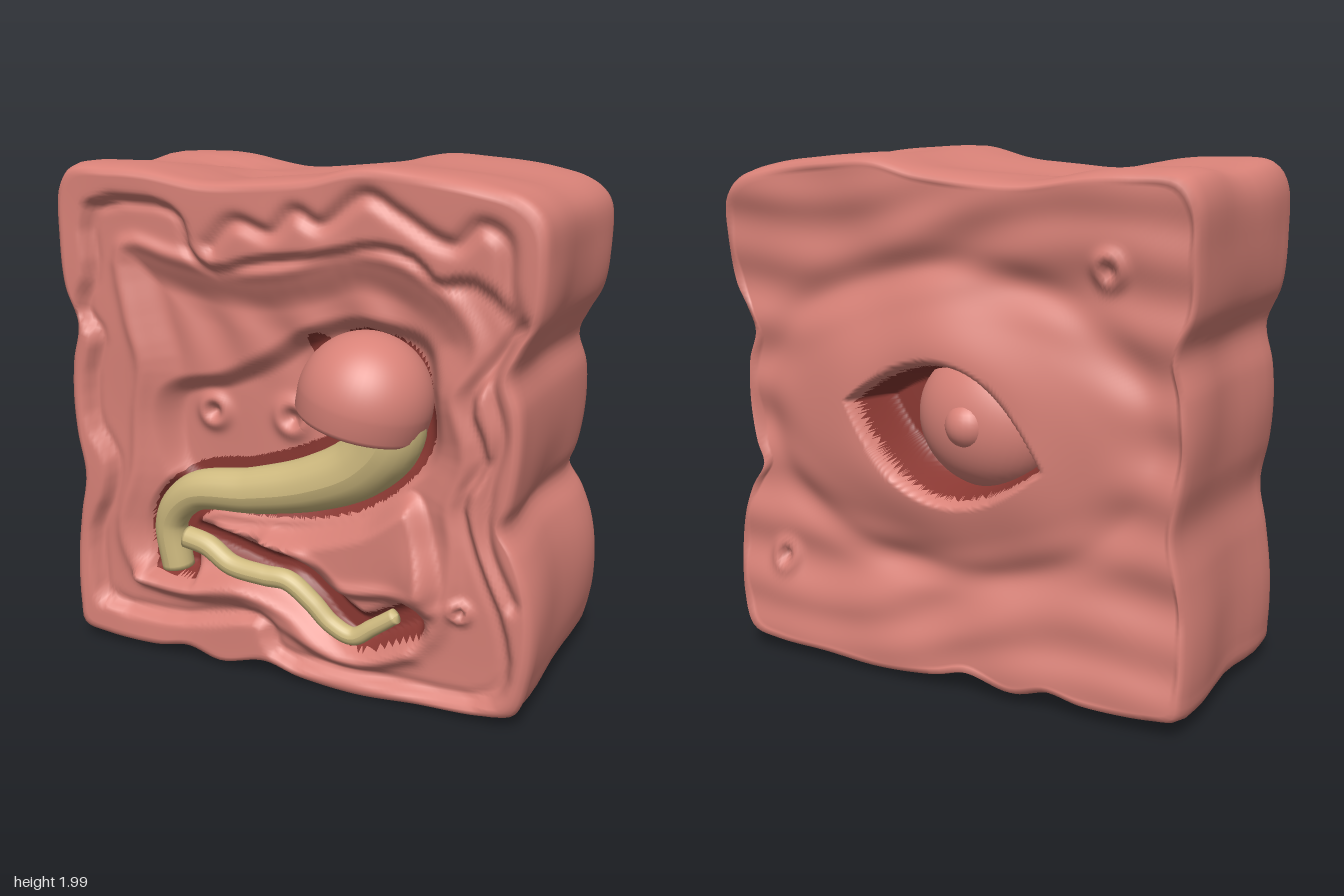
import * as THREE from 'three';

const flat = (a) => {
  const out = [];
  for (let i = 0; i < a.length; i += 2) out.push(new THREE.Vector3(a[i], a[i + 1], 0));
  return out;
};
const smooth = THREE.MathUtils.smoothstep;
const lerp = THREE.MathUtils.lerp;
const gauss = (d, w) => Math.exp(-(d * d) / (w * w));

// Distance to a smooth line; closed lines give a signed distance, positive inside
function lineField(coords, closed) {
  const pts = new THREE.CatmullRomCurve3(flat(coords), closed).getPoints(90);
  return (x, y) => {
    let best = 9, inside = false;
    for (let i = 1; i < pts.length; i++) {
      const a = pts[i - 1], b = pts[i];
      const dx = b.x - a.x, dy = b.y - a.y;
      const t = THREE.MathUtils.clamp(((x - a.x) * dx + (y - a.y) * dy) / (dx * dx + dy * dy + 1e-9), 0, 1);
      best = Math.min(best, Math.hypot(x - a.x - t * dx, y - a.y - t * dy));
      if ((a.y > y) !== (b.y > y) && x < a.x + ((y - a.y) / dy) * dx) inside = !inside;
    }
    return closed && !inside ? -best : best;
  };
}

const outline = [-0.96, 0.06, -0.85, 0.035, -0.6, 0.03, -0.45, 0.055, -0.3, 0.02, -0.1, 0.06, 0.05, 0.025,
  0.3, 0.005, 0.55, 0.02, 0.8, 0.03, 0.92, 0.06, 0.97, 0.2, 0.985, 0.4, 0.965, 0.55, 0.92, 0.67, 0.86, 0.77,
  0.89, 0.86, 0.915, 1.03, 0.91, 1.2, 0.875, 1.32, 0.91, 1.41, 0.965, 1.52, 0.985, 1.7, 0.97, 1.85, 0.9, 1.92,
  0.75, 1.96, 0.5, 1.99, 0.3, 2.0, 0.1, 1.955, -0.15, 1.93, -0.35, 1.925, -0.6, 1.96, -0.75, 1.965,
  -0.93, 1.95, -0.98, 1.88, -0.99, 1.7, -0.975, 1.5, -0.92, 1.35, -0.95, 1.2, -0.96, 1.05, -0.95, 0.9,
  -0.92, 0.72, -0.95, 0.55, -0.975, 0.35, -0.975, 0.15];

// Folds of the front face
const rimEdge = lineField([-0.83, 1.8, -0.5, 1.82, -0.43, 1.77, -0.4, 1.66, -0.3, 1.6, -0.1, 1.64, 0.1, 1.67,
  0.35, 1.72, 0.5, 1.69, 0.6, 1.61, 0.72, 1.62, 0.86, 1.49, 0.8, 1.35, 0.72, 1.2, 0.78, 1.0, 0.7, 0.85,
  0.75, 0.65, 0.86, 0.4, 0.88, 0.2, 0.8, 0.1, 0.5, 0.09, 0.2, 0.1, -0.05, 0.12, -0.1, 0.24, -0.3, 0.22,
  -0.5, 0.18, -0.85, 0.2, -0.87, 0.3, -0.87, 0.5, -0.8, 0.65, -0.78, 0.8, -0.86, 0.95, -0.86, 1.15,
  -0.82, 1.3, -0.89, 1.4, -0.84, 1.55], true);
const recess = lineField([-0.68, 1.63, -0.5, 1.6, -0.25, 1.56, 0, 1.58, 0.25, 1.66, 0.48, 1.62, 0.66, 1.48,
  0.7, 1.38, 0.61, 1.22, 0.66, 1.0, 0.6, 0.8, 0.62, 0.65, 0.6, 0.4, 0.5, 0.27, 0.27, 0.18, 0, 0.26,
  -0.2, 0.34, -0.4, 0.33, -0.65, 0.36, -0.72, 0.5, -0.65, 0.75, -0.63, 1, -0.6, 1.2, -0.65, 1.4], true);
const hollow = lineField([-0.55, 1.1, -0.3, 1.18, -0.1, 1.28, 0.05, 1.38, 0.3, 1.44, 0.52, 1.38, 0.58, 1.2,
  0.55, 0.95, 0.3, 0.8, 0, 0.75, -0.5, 0.72, -0.58, 0.9], true);
const slab = lineField([-0.35, 0.57, 0, 0.6, 0.3, 0.7, 0.5, 0.82, 0.58, 0.65, 0.6, 0.45, 0.4, 0.41,
  0.23, 0.4, 0.1, 0.48, -0.1, 0.53], true);
const upperFold = lineField([-0.3, 1.69, -0.2, 1.78, -0.05, 1.75, 0.05, 1.83, 0.15, 1.79, 0.32, 1.9, 0.45, 1.84,
  0.65, 1.75, 0.75, 1.82, 0.83, 1.78, 0.85, 1.6, 0.89, 1.49], false);
const rightFold = lineField([0.89, 1.48, 0.8, 1.3, 0.84, 1.1, 0.8, 0.9, 0.8, 0.72, 0.9, 0.5], false);
const lip = lineField([-0.66, 0.33, -0.45, 0.32, -0.2, 0.35, 0.0, 0.28, 0.12, 0.2, 0.28, 0.155, 0.5, 0.22], false);
const slabLip = lineField([-0.1, 0.55, 0.05, 0.52, 0.2, 0.42, 0.4, 0.43, 0.58, 0.42], false);

const bigPath = [-0.52, 0.36, -0.535, 0.58, -0.42, 0.71, -0.15, 0.755, 0.1, 0.82, 0.3, 0.92, 0.4, 1.05, 0.37, 1.2];
const bigRadii = [0.065, 0.065, 0.078, 0.088, 0.1, 0.115, 0.13, 0.14];
const thinPath = [-0.47, 0.52, -0.36, 0.5, -0.25, 0.44, -0.1, 0.425, 0.0, 0.42, 0.1, 0.35, 0.18, 0.275,
  0.27, 0.24, 0.35, 0.29, 0.45, 0.36];
const bigDist = lineField(bigPath, false);
const thinBed = lineField([-0.45, 0.53, -0.3, 0.5, -0.1, 0.45, 0.02, 0.44, 0.12, 0.375, 0.2, 0.295, 0.29, 0.25,
  0.42, 0.3, 0.49, 0.335], false);

// Distance outside the edge of the dark front channel (negative inside)
const channel = (x, y) => Math.max(0.35 - y - 0.25 * smooth(x, -0.45, -0.2), Math.min(
  bigDist(x, y) - lerp(0.1, 0.155, smooth(x, -0.4, 0.25)),
  thinBed(x, y) - lerp(0.05, 0.066, smooth(x, 0, 0.3)),
  Math.hypot(x - 0.3, y - 1.18) - 0.235, Math.hypot(x - 0.08, y - 1.33) - 0.05));
// Almond-shaped opening at the back: below 1 is inside
const almond = (x, y) => {
  const u = (x + 0.02) * 0.975 + (y - 1) * 0.22, v = (y - 1) * 0.975 - (x + 0.02) * 0.22;
  return (u / 0.41) ** 2 + Math.abs(v) / 0.26;
};
const lumps = (x, y) => Math.sin(7 * x + 3 * y) * Math.sin(6 * y - 2 * x + 1) + 0.5 * Math.sin(13 * x - 8 * y + 2);
const crater = (x, y, cx, cy, r) => {
  const d = Math.hypot(x - cx, y - cy);
  return 0.024 * gauss(d - r, r * 0.6) - 0.015 * gauss(d, r * 0.5);
};

function frontZ(x, y) {
  const a = rimEdge(x, y), b = recess(x, y);
  let z = 0.41 + 0.006 * lumps(x, y);
  z -= 0.045 * smooth(a, -0.03, 0.03) + 0.025 * gauss(a, 0.022);
  z += 0.02 * gauss(b + 0.04, 0.03) - 0.05 * smooth(b, -0.02, 0.12);
  z -= 0.03 * gauss(upperFold(x, y), 0.03) + 0.03 * gauss(rightFold(x, y), 0.025);
  z -= 0.07 * smooth(hollow(x, y), -0.03, 0.06);
  z += 0.09 * smooth(slab(x, y), -0.02, 0.06) + 0.04 * gauss(slabLip(x, y), 0.035);
  z += lerp(0.06, 0.03, smooth(x, -0.2, 0.1)) * gauss(lip(x, y), 0.04);
  z += 0.05 * gauss(Math.hypot(x - 0.55, (y - 0.48) * 0.5), 0.08);
  z += 0.012 * Math.sin(22 * x + 9 * y) * smooth(b, 0.05, 0.2) * smooth(y, 1.1, 1.4);
  z = lerp(Math.min(z, 0.27), z, smooth(channel(x, y), -0.035, 0.015));
  return z + crater(x, y, -0.38, 1.02, 0.05) + crater(x, y, -0.04, 1.03, 0.055) + crater(x, y, 0.7, 0.42, 0.03);
}

function backZ(x, y) {
  const r = Math.hypot(x / 0.72, (y - 1.03) / 0.5);
  const edge = smooth(Math.abs(y - 1), 0.5, 0.9);
  let z = -0.49 - 0.04 * edge - 0.085 * (1 - smooth(r, 0.5, 1.15)) + 0.007 * lumps(x + 3, y);
  z += 0.01 * Math.sin(24 * y + 5 * x + 2 * Math.sin(4 * x)) * smooth(r, 0.8, 1.2) * (1 - smooth(Math.abs(y - 1), 0.75, 0.95));
  z += 0.02 * gauss(r - 1.15, 0.12);
  z += 0.24 * (1 - smooth(almond(x, y), 0.7, 1.04));
  return z - crater(x, y, -0.65, 1.62, 0.045) - crater(x, y, 0.74, 0.41, 0.045);
}

// Whole block: front face rings, side rings, back face rings
function blockGeometry() {
  const N = 320, R = 75;
  const rim = new THREE.CatmullRomCurve3(flat(outline), true).getSpacedPoints(N).slice(0, N);
  const rows = [];
  for (let i = 0; i <= R; i++) rows.push([0.968 * i / R, frontZ]);
  const sides = [[0.985, 0.4], [0.996, 0.375], [1, 0.33], [1, 0.25], [0.992, 0.15], [0.982, 0.05], [0.978, -0.05],
    [0.982, -0.15], [0.986, -0.22], [0.99, -0.29], [0.99, -0.36], [0.985, -0.43], [0.975, -0.48], [0.962, -0.505]];
  for (const [s, z] of sides) rows.push([s, (x, y) => z - (z < -0.4 ? 0.03 * smooth(Math.abs(y - 1), 0.5, 0.9) : 0)]);
  for (let i = R; i >= 0; i--) rows.push([0.945 * i / R, backZ]);
  const pos = [], flesh = [], dark = [];
  rows.forEach(([s, zAt], i) => rim.forEach((p) => {
    let x = p.x * s, y = 1 + (p.y - 1) * s;
    const z = zAt(x, y);
    if (i > R + 2 && i < R + 13) {
      const k = 1 + 0.008 * Math.sin(9 * z + 5 * x) * Math.sin(4 * x + 7 * y);
      const dents = 0.03 * gauss(Math.hypot(x + 0.55, (z + 0.24 + 0.4 * (x + 0.55)) * 2), 0.17)
        + 0.02 * gauss(Math.hypot((x + 0.3) * 0.5, z + 0.02), 0.07);
      x *= k;
      y = THREE.MathUtils.clamp(1 + (y - 1) * k, 0, 2) - dents * smooth(y, 1.7, 1.85);
    }
    pos.push(x, y, z);
  }));
  const addFace = (row, ...ids) => {
    const x = ids.reduce((t, k) => t + pos[3 * k] / 3, 0), y = ids.reduce((t, k) => t + pos[3 * k + 1] / 3, 0);
    const isDark = row < R ? channel(x, y) < -0.002 : row > R + sides.length && almond(x, y) < 0.93;
    (isDark ? dark : flesh).push(...ids);
  };
  for (let i = 0; i < rows.length - 1; i++) for (let j = 0; j < N; j++) {
    const a = i * N + j, d = i * N + (j + 1) % N, b = a + N, c = d + N;
    addFace(i, a, b, c);
    addFace(i, a, c, d);
  }
  const g = new THREE.BufferGeometry();
  g.setAttribute('position', new THREE.Float32BufferAttribute(pos, 3));
  g.setIndex(flesh.concat(dark));
  g.addGroup(0, flesh.length, 0);
  g.addGroup(flesh.length, dark.length, 1);
  g.computeVertexNormals();
  return g;
}

// Tube whose radius follows a list of values, closed at both ends
function taperedTube(coords, depths, radii) {
  const at = (list, t) => {
    const f = t * (list.length - 1), i = Math.min(Math.floor(f), list.length - 2);
    return lerp(list[i], list[i + 1], f - i);
  };
  const pts = flat(coords);
  pts.forEach((p, i) => { p.z = at(depths, i / (pts.length - 1)); });
  const curve = new THREE.CatmullRomCurve3(pts), n = 90, m = 20;
  const g = new THREE.TubeGeometry(curve, n, 1, m);
  const P = g.attributes.position, v = new THREE.Vector3();
  for (let i = 0; i < P.count; i++) {
    const ring = Math.floor(i / (m + 1)), c = curve.getPointAt(ring / n);
    const r = ring === 0 || ring === n ? 0 : at(radii, ring / n);
    v.fromBufferAttribute(P, i).sub(c).multiplyScalar(r).add(c);
    P.setXYZ(i, v.x, v.y, v.z);
  }
  g.computeVertexNormals();
  return g;
}

export function createModel() {
  const mat = (name, color) => Object.assign(new THREE.MeshStandardMaterial({ color }), { name });
  const flesh = mat('flesh pink', 0xd98278), dark = mat('deep red', 0x8a3832), bone = mat('bone yellow', 0xd0bb80);
  const group = new THREE.Group();
  const add = (name, geo, material, x = 0, y = 0, z = 0) => {
    const m = new THREE.Mesh(geo, material);
    m.name = name;
    m.position.set(x, y, z);
    group.add(m);
    return m;
  };
  add('fleshBlock', blockGeometry(), [flesh, dark]);
  add('thickStem', taperedTube(bigPath, [0.33, 0.355, 0.35, 0.34, 0.34], bigRadii), bone);
  add('thinStem', taperedTube(thinPath, [0.36, 0.38, 0.37, 0.36], [0.045, 0.042, 0.04, 0.036, 0.03]), bone);

  // Bell-shaped cap with a flat underside
  const profile = [[0, -0.08], [0.2, -0.09], [0.235, -0.088], [0.246, -0.07]].map((p) => new THREE.Vector2(...p));
  for (let i = 0; i <= 24; i++) {
    const t = (Math.PI / 2) * (i / 24);
    profile.push(new THREE.Vector2(0.25 * Math.cos(t), 0.25 * Math.sin(t)));
  }
  add('cap', new THREE.LatheGeometry(profile, 48), flesh, 0.3, 1.165, 0.335).rotation.z = -0.24;

  // Rounded body inside the back opening, with a small nub
  const ball = add('innerBall', new THREE.SphereGeometry(1, 40, 28), flesh, -0.1, 1.03, -0.34);
  ball.scale.set(0.28, 0.26, 0.19);
  ball.rotation.z = 0.22;
  add('innerNub', new THREE.SphereGeometry(0.09, 24, 16), flesh, -0.09, 1.03, -0.47);
  return group;
}
